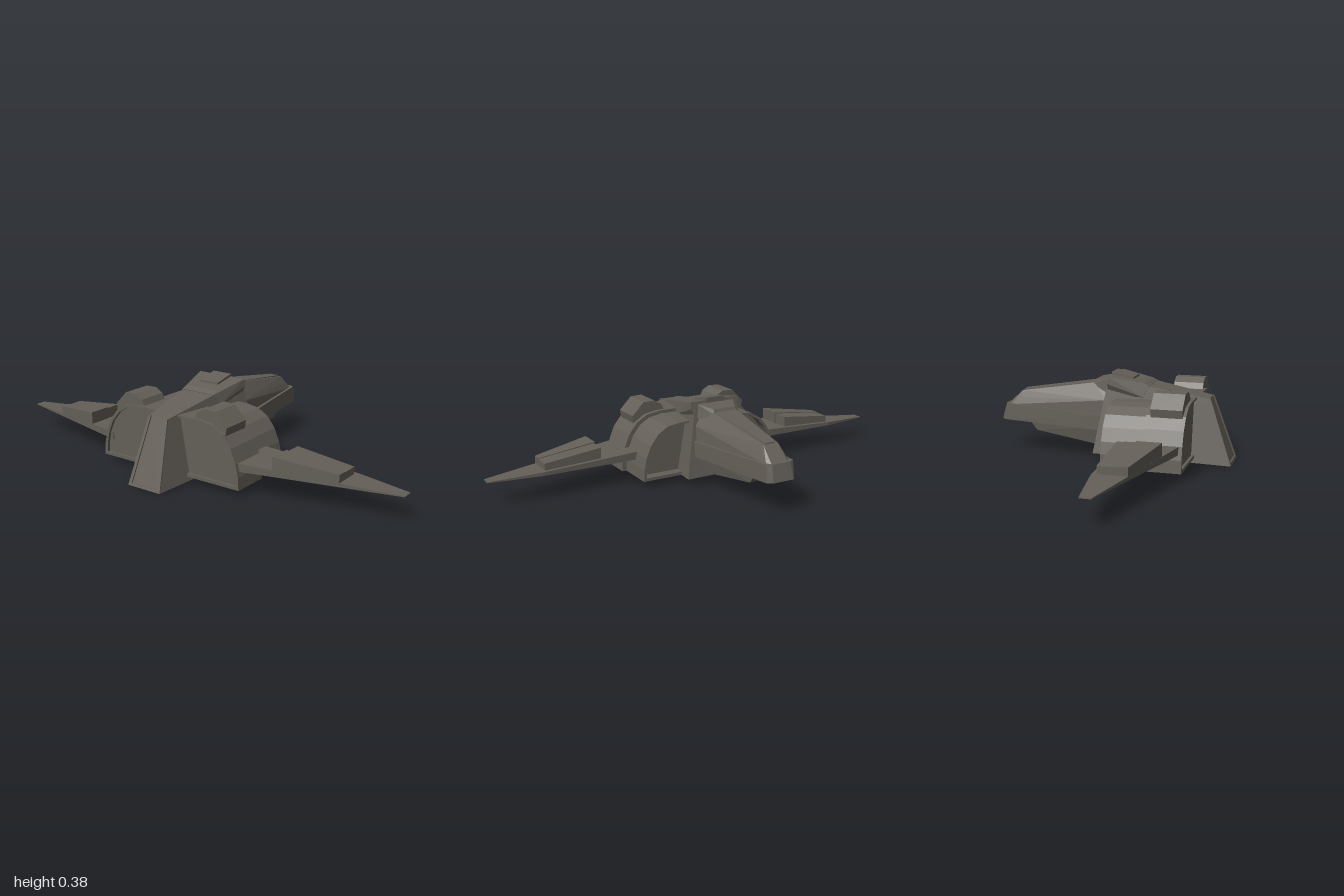
import * as THREE from 'three';
import { ConvexGeometry } from 'three/addons/geometries/ConvexGeometry.js';

const hullGrey = new THREE.MeshStandardMaterial({ color: 0x645f58 });
hullGrey.name = 'hullGrey';

export function createModel() {
  const group = new THREE.Group();
  group.name = 'spacecraft';

  const add = (name, geometry) => {
    const mesh = new THREE.Mesh(geometry, hullGrey);
    mesh.name = name;
    group.add(mesh);
    return mesh;
  };
  // Faceted solid around a set of corners
  const hull = (name, pts) => add(name, new ConvexGeometry(pts.map(p => new THREE.Vector3(...p))));
  // Faceted solid symmetric about x = 0
  const symmetric = (name, pts) => hull(name, pts.flatMap(([x, y, z]) => [[x, y, z], [-x, y, z]]));
  // Outline in x and y, extruded from z0 to z1
  const extrude = (name, shape, z0, z1) => {
    const geometry = new THREE.ExtrudeGeometry(shape, { depth: z1 - z0, bevelEnabled: false });
    geometry.translate(0, 0, z0);
    return add(name, geometry);
  };
  const outline = pts => pts.map(([x, y]) => new THREE.Vector2(x, y));

  // Central spine, wide at the bulkhead and narrow at the stern
  symmetric('spine', [
    [0.085, 0.005, 0.535], [0.05, 0.29, 0.435],
    [0.172, 0.042, -0.057], [0.105, 0.368, -0.003],
  ]);
  // Raised frame around the sloping stern panel
  const stern = (x, t, out) => [x, 0.005 + 0.285 * t, 0.535 - 0.1 * t + out];
  for (const s of [-1, 1]) {
    hull('sternFrameSide', [0, 0.006].flatMap(o => [
      stern(s * 0.085, 0, o), stern(s * 0.07, 0, o), stern(s * 0.05, 1, o), stern(s * 0.038, 1, o),
    ]));
  }
  symmetric('sternFrameBottom', [0, 0.006].flatMap(o => [stern(0.083, 0.0, o), stern(0.081, 0.04, o)]));

  // Collar, roof hatch and step in front of the collar
  symmetric('collar', [
    [0.085, 0.338, 0.175], [0.08, 0.35, 0.15], [0.1, 0.29, 0.15],
    [0.122, 0.376, 0], [0.125, 0.345, -0.003], [0.1, 0.29, -0.01],
  ]);
  symmetric('roofHatch', [
    [0.048, 0.35, 0.095], [0.048, 0.368, 0.095], [0.048, 0.388, -0.005], [0.048, 0.36, -0.005],
  ]);
  symmetric('collarStep', [
    [0.09, 0.364, -0.005], [0.1, 0.3, -0.01], [0.055, 0.352, -0.08], [0.06, 0.33, -0.09],
  ]);

  // Nose: tapering upper hull, broad side band and keel
  symmetric('noseUpper', [
    [0.115, 0.2, -0.02], [0.065, 0.34, -0.01], [0.112, 0.27, -0.01], [0.06, 0.338, -0.085],
    [0.036, 0.28, -0.44], [0.05, 0.25, -0.44], [0.04, 0.218, -0.505], [0.056, 0.215, -0.49],
  ]);
  symmetric('noseBand', [
    [0.128, 0.205, -0.02], [0.128, 0.135, -0.02], [0.066, 0.22, -0.505],
    [0.068, 0.145, -0.515], [0.045, 0.22, -0.515], [0.05, 0.148, -0.535],
  ]);
  symmetric('noseRidge', [
    [0.05, 0.34, -0.08], [0.05, 0.33, -0.08], [0.024, 0.286, -0.435], [0.024, 0.27, -0.435],
  ]);
  symmetric('keel', [
    [0.09, 0.06, -0.04], [0.11, 0.15, -0.04], [0.05, 0.1, -0.365], [0.05, 0.145, -0.4],
  ]);

  // Arched side hulls: solid core with raised rims at the open ends
  const profile = [[0.365, 0.035], [0.362, 0.09], [0.35, 0.145], [0.325, 0.205], [0.285, 0.255], [0.235, 0.285], [0.17, 0.296]];
  const arch = (k, inset = 0) => {
    const half = profile.map(([x, y]) => [
      (x - inset) * k,
      0.035 + (y - 0.035) * (k - inset / 0.26) + (y < 0.04 ? inset : inset * 0.4),
    ]);
    return outline([...half, ...half.map(([x, y]) => [-x, y]).reverse()]);
  };
  const rim = (name, k, z0, z1) => {
    const shape = new THREE.Shape(arch(k));
    shape.holes.push(new THREE.Path(arch(k, 0.014)));
    extrude(name, shape, z0, z1);
  };
  extrude('rearArch', new THREE.Shape(arch(1)), 0.215, 0.37);
  rim('rearArchRim', 1, 0.37, 0.383);
  extrude('frontArch', new THREE.Shape(arch(0.945)), 0.08, 0.215);
  rim('frontArchRim', 0.945, 0.033, 0.08);

  for (const s of [-1, 1]) {
    // Angular pod on the shoulder of each arch
    const pod = [[0.13, 0.28], [0.15, 0.322], [0.185, 0.342], [0.24, 0.34], [0.297, 0.282], [0.29, 0.24], [0.2, 0.24]];
    extrude('shoulderPod', new THREE.Shape(outline(pod.map(([x, y]) => [x * s, y]))), 0.235, 0.37);

    // Wing with a flat underside
    const plan = [[0.32, 0.132, 0.146], [0.765, 0.132, 0.126], [0.785, 0.143, 0.125], [1, 0.165, 0.114], [1, 0.212, 0.114], [0.32, 0.375, 0.146]];
    hull('wing', plan.flatMap(([x, z, top]) => [[x * s, 0.11, z], [x * s, top, z]]));

    // Tapering block on the wing: tall rear part and lower front part
    const block = (name, x0, x1, z0, zRear0, zRear1, top0, top1) => hull(name, [
      [x0, top0, z0], [x0, top0, zRear0], [x1, top1, z0], [x1, top1, zRear1],
      [x0, 0.12, z0], [x0, 0.12, zRear0], [x1, 0.12, z0], [x1, 0.12, zRear1],
    ].map(([x, y, z]) => [x * s, y, z]));
    block('wingBlockFront', 0.495, 0.755, 0.15, 0.23, 0.23, 0.187, 0.157);
    block('wingBlockRear', 0.49, 0.755, 0.228, 0.333, 0.271, 0.193, 0.16);
  }
  return group;
}
